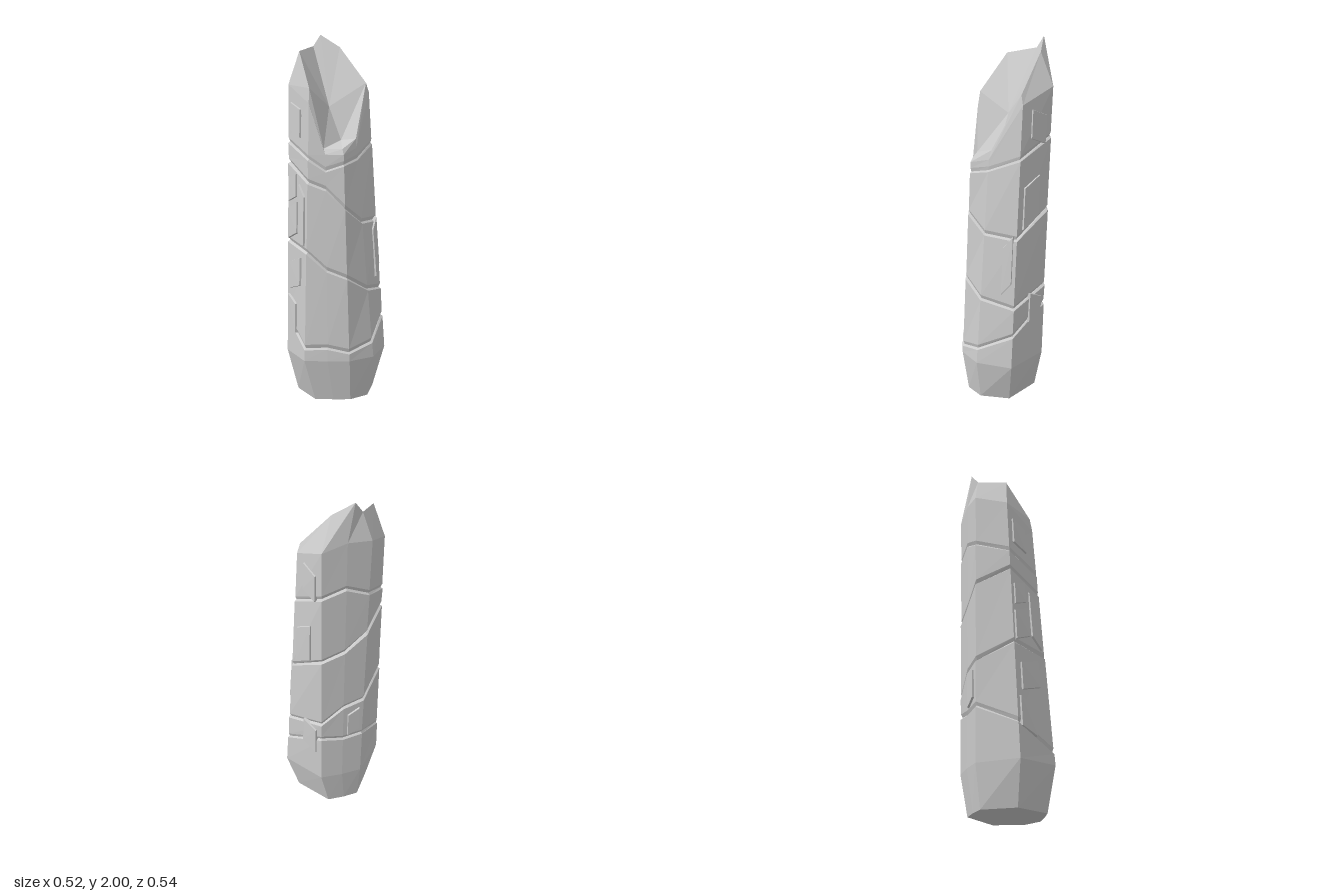
import * as THREE from 'three';
import { ConvexGeometry } from 'three/addons/geometries/ConvexGeometry.js';

// Corner columns, right -> front -> left -> back: shoulder (x, z), neck (x, y, z), rim (x, y, z)
const COLUMNS = [
  { shoulder: [0.257, 0], neck: [0.135, 1.38, -0.01], rim: [0.125, 1.43, -0.02] },
  { shoulder: [0.19, 0.14], neck: [0.13, 1.35, 0.11], rim: [0.115, 1.38, 0.1] },
  { shoulder: [0.09, 0.207], neck: [0.04, 1.35, 0.152], rim: [0.02, 1.38, 0.137] },
  { shoulder: [-0.02, 0.27], neck: [-0.05, 1.62, 0.175], rim: [-0.055, 1.7, 0.163] },
  { shoulder: [-0.215, 0.16], neck: [-0.24, 1.72, 0.098], rim: [-0.185, 1.9, 0.07] },
  { shoulder: [-0.222, -0.08], neck: [-0.26, 1.79, -0.09], rim: [-0.21, 1.935, -0.1] },
  { shoulder: [-0.145, -0.165], neck: [-0.175, 1.8, -0.185], rim: [-0.195, 2, -0.15] },
  { shoulder: [-0.05, -0.248], neck: [-0.08, 1.76, -0.272], rim: [-0.09, 1.93, -0.19] },
  { shoulder: [0.212, -0.2], neck: [0.1, 1.68, -0.195], rim: [0.09, 1.73, -0.18] },
];
const N = COLUMNS.length;
const SHOULDER_Y = 0.23;

// Cracks round the shaft: mean height, slant, and the direction (degrees, 90 = front) of their high side
const CRACKS = [
  { y: 0.41, slant: 0.13, high: 230, depth: 0.045 },
  { y: 0.72, slant: 0.14, high: 145, depth: 0.055 },
  { y: 1.13, slant: 0.16, high: 150, depth: 0.06 },
  { y: 1.4, slant: 0.12, high: 230, depth: 0.045 },
];

// Raised plates: column, centre (share of the way to the next column, height), width share, height
const PLATES = [
  [3, 0.7, 0.98, 0.5, 0.18], [3, 0.25, 1.02, 0.3, 0.28], [3, 0.72, 1.16, 0.4, 0.13],
  [3, 0.7, 0.46, 0.45, 0.17], [3, 0.55, 0.69, 0.6, 0.16], [3, 0.6, 1.53, 0.5, 0.16],
  [5, 0.5, 0.64, 0.6, 0.16], [7, 0.33, 0.53, 0.4, 0.18], [7, 0.6, 1.16, 0.5, 0.24],
  [7, 0.45, 1.56, 0.5, 0.16], [8, 0.25, 0.82, 0.3, 0.28],
];

// Point on a column between shoulder and neck, drawn in towards the axis by a share
function columnPoint(i, y, inset = 0) {
  const { shoulder, neck } = COLUMNS[i % N];
  const t = (y - SHOULDER_Y) / (neck[1] - SHOULDER_Y);
  const x = THREE.MathUtils.lerp(shoulder[0], neck[0], t);
  const z = THREE.MathUtils.lerp(shoulder[1], neck[2], t);
  return new THREE.Vector3(x * (1 - inset), y, z * (1 - inset));
}

// Height of a crack where it crosses a column, slightly jagged
function crackHeight({ y, slant, high }, i) {
  const [x, z] = COLUMNS[i].shoulder;
  const turn = Math.atan2(z, x) - THREE.MathUtils.degToRad(high);
  return y + slant * Math.cos(turn) + 0.02 * Math.sin(i * 2.3 + y * 9);
}

function flatMesh(name, triangles, material) {
  const geometry = new THREE.BufferGeometry().setFromPoints(triangles);
  geometry.computeVertexNormals();
  const mesh = new THREE.Mesh(geometry, material);
  mesh.name = name;
  return mesh;
}

function buildShaft(material) {
  const ring = (fn) => COLUMNS.map((column, i) => fn(i, column));
  // The foot tapers in below the shoulder
  const rings = [
    ring((i, { shoulder: [x, z] }) => new THREE.Vector3(x * 0.85 + z * 0.1, 0, z * 0.78)),
    ring((i) => columnPoint(i, SHOULDER_Y)),
  ];
  // Each crack is a lower lip, a groove and an upper lip
  for (const crack of CRACKS) {
    rings.push(ring((i) => columnPoint(i, crackHeight(crack, i) - 0.01)));
    rings.push(ring((i) => columnPoint(i, crackHeight(crack, i), crack.depth)));
    rings.push(ring((i) => columnPoint(i, crackHeight(crack, i) + 0.02, crack.depth * 0.25)));
  }
  rings.push(ring((i, { neck }) => new THREE.Vector3(...neck)));
  rings.push(ring((i, { rim }) => new THREE.Vector3(...rim)));

  const tris = [];
  for (let r = 0; r < rings.length - 1; r++) {
    for (let i = 0; i < N; i++) {
      const j = (i + 1) % N, lo = rings[r], hi = rings[r + 1];
      tris.push(lo[j], lo[i], hi[i], lo[j], hi[i], hi[j]);
    }
  }
  // Flat underside
  const base = new THREE.Vector3();
  for (let i = 0; i < N; i++) tris.push(base, rings[0][i], rings[0][(i + 1) % N]);
  return flatMesh('shaft', tris, material);
}

// Broken hollow at the top, falling from the high left wall to the low right lip
function buildHollow(material) {
  const rim = COLUMNS.map((column) => new THREE.Vector3(...column.rim));
  const high = new THREE.Vector3(-0.05, 1.6, -0.02);
  const low = new THREE.Vector3(0.035, 1.42, -0.01);
  const tris = [high, rim[2], low, high, low, rim[8]];
  for (let i = 0; i < N; i++) {
    const centre = i < 2 || i === 8 ? low : high;
    tris.push(centre, rim[(i + 1) % N], rim[i]);
  }
  return flatMesh('brokenTop', tris, material);
}

// Thin bevelled, skewed plate lying on one side of the shaft
function buildPlate([column, u, y, width, height], index, material) {
  const surface = (s, h) => columnPoint(column, h).lerp(columnPoint(column + 1, h), s);
  const edge = columnPoint(column + 1, y).sub(columnPoint(column, y));
  const normal = new THREE.Vector3(-edge.z, 0, edge.x).normalize();
  if (normal.dot(surface(u, y)) < 0) normal.negate();
  const skew = index % 2 ? 0.25 : -0.25;
  const points = [];
  for (const a of [-0.5, 0.5]) {
    for (const b of [-0.5, 0.5]) {
      const corner = (k) => surface(u + a * width * k, y + (b + a * skew) * height * k);
      points.push(corner(1).addScaledVector(normal, -0.02));
      points.push(corner(0.93).addScaledVector(normal, 0.009));
    }
  }
  const mesh = new THREE.Mesh(new ConvexGeometry(points), material);
  mesh.name = 'rockPlate';
  return mesh;
}

export function createModel() {
  const model = new THREE.Group();
  model.name = 'rockPillar';
  const stone = new THREE.MeshStandardMaterial({ color: 0xcccccc, flatShading: true });
  model.add(buildShaft(stone), buildHollow(stone));

  const plates = new THREE.Group();
  plates.name = 'rockPlates';
  PLATES.forEach((plate, index) => plates.add(buildPlate(plate, index, stone)));
  model.add(plates);
  return model;
}
